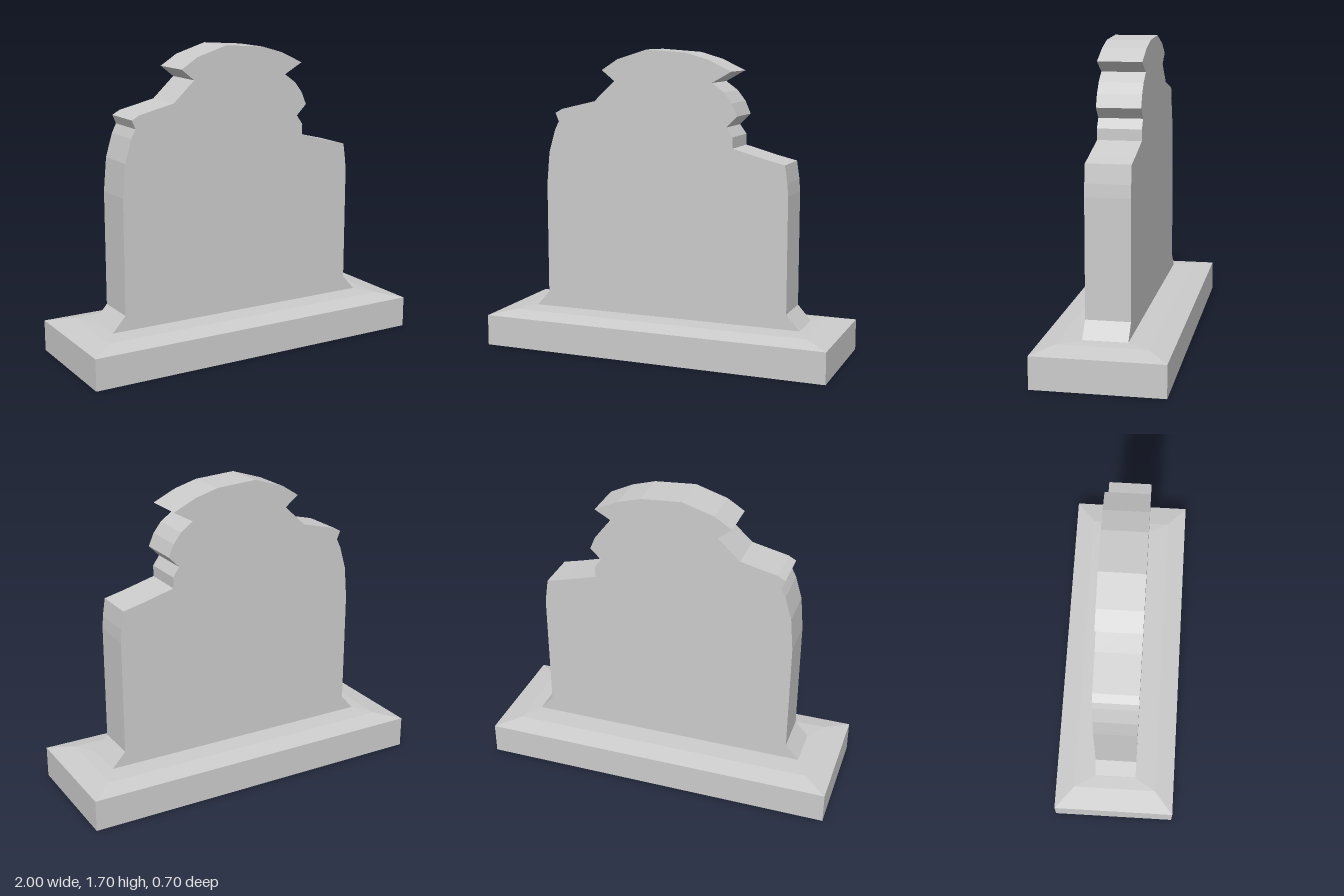
import * as THREE from 'three';

const material = new THREE.MeshStandardMaterial({ color: 0xcccccc, flatShading: true });

// Stacks rectangular rings [halfX, halfZ, y] from bottom to top, capped at both ends
function rectLoft(rings) {
  const pos = [], index = [];
  for (const [x, z, y] of rings) pos.push(-x, y, z, x, y, z, x, y, -z, -x, y, -z);
  for (let r = 0; r < rings.length - 1; r++) {
    for (let i = 0; i < 4; i++) {
      const a = r * 4 + i, b = r * 4 + (i + 1) % 4;
      index.push(a, b, b + 4, a, b + 4, a + 4);
    }
  }
  const t = (rings.length - 1) * 4;
  index.push(0, 2, 1, 0, 3, 2, t, t + 1, t + 2, t, t + 2, t + 3);
  const indexed = new THREE.BufferGeometry();
  indexed.setAttribute('position', new THREE.Float32BufferAttribute(pos, 3));
  indexed.setIndex(index);
  const geometry = indexed.toNonIndexed();
  geometry.computeVertexNormals();
  return geometry;
}

export function createModel() {
  const group = new THREE.Group();
  group.name = 'brokenGravestone';

  // Plinth with a shallow bevelled top
  const plinth = new THREE.Mesh(rectLoft([
    [1, 0.35, 0], [1, 0.35, 0.175], [0.87, 0.24, 0.2], [0.8, 0.12, 0.205],
  ]), material);
  plinth.name = 'plinth';
  group.add(plinth);

  // Upright slab: flared foot, chipped shoulders and arched crown
  const outline = [
    [-0.8, 0.2], [0.8, 0.2], [0.72, 0.29], [0.72, 0.93], [0.715, 1.0], [0.7, 1.1],
    [0.596, 1.125], [0.407, 1.177], [0.407, 1.238], [0.37, 1.29], [0.43, 1.35],
    [0.4, 1.42], [0.355, 1.478], [0.287, 1.527], [0.396, 1.588], [0.265, 1.65],
    [0.137, 1.687], [-0.094, 1.703], [-0.27, 1.648], [-0.366, 1.587], [-0.29, 1.527],
    [-0.414, 1.412], [-0.618, 1.364], [-0.66, 1.34], [-0.64, 1.293], [-0.665, 1.243],
    [-0.703, 1.115], [-0.72, 0.93], [-0.72, 0.29],
  ];
  const shape = new THREE.Shape(outline.map(([x, y]) => new THREE.Vector2(x, y)));
  const slabGeometry = new THREE.ExtrudeGeometry(shape, { depth: 0.24, bevelEnabled: false });
  slabGeometry.translate(0, 0, -0.12);
  const slab = new THREE.Mesh(slabGeometry, material);
  slab.name = 'slab';
  group.add(slab);

  return group;
}
